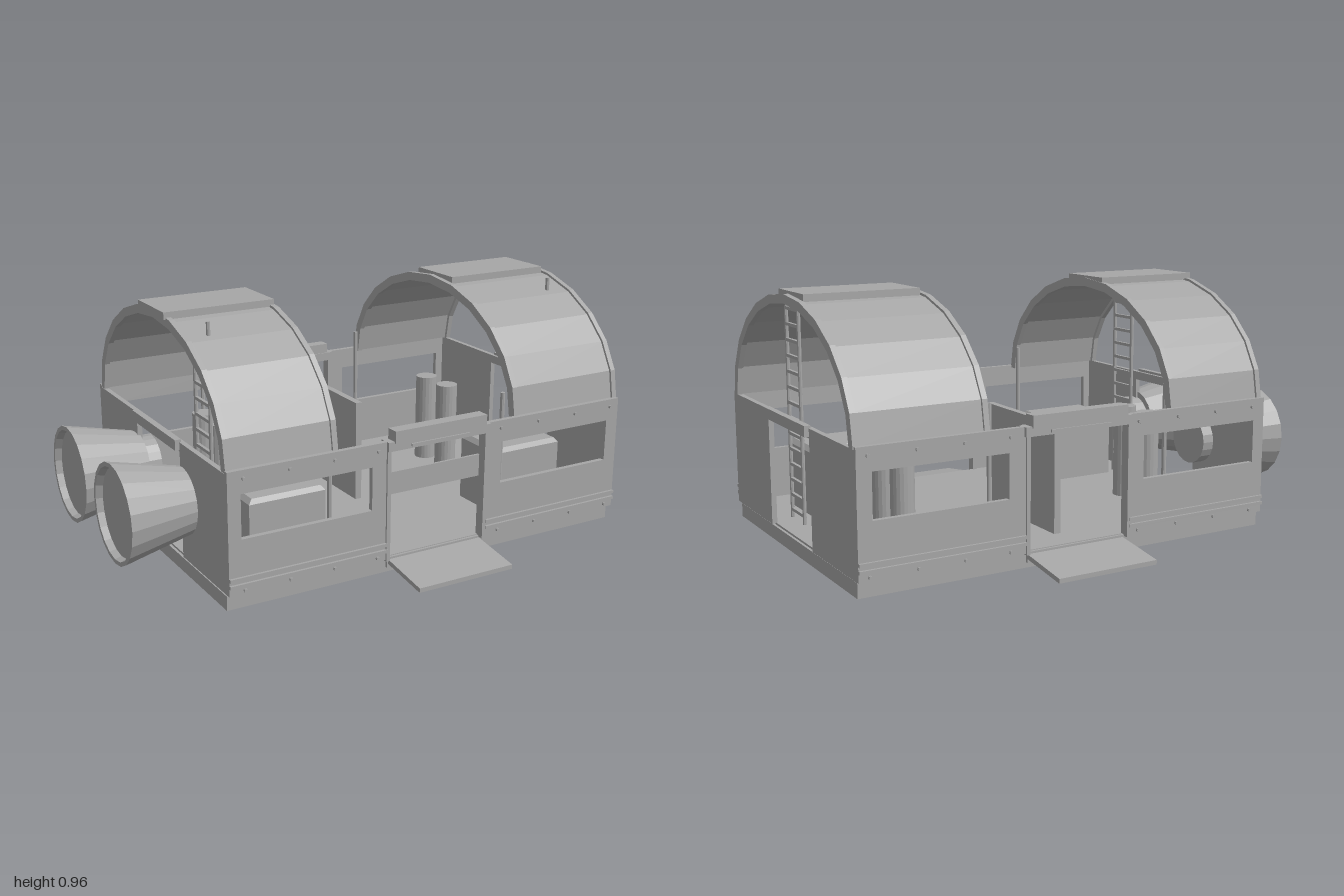
import * as THREE from 'three';

const grey = new THREE.MeshStandardMaterial({ color: 0xa6a6a6 });
grey.name = 'hull grey';
grey.flatShading = true;
grey.side = THREE.DoubleSide;

export function createModel() {
  const model = new THREE.Group();
  model.name = 'openModule';

  const add = (name, geo, parent = model) => {
    const m = new THREE.Mesh(geo, grey);
    m.name = name;
    parent.add(m);
    return m;
  };
  // Box given by its limits on each axis
  const box = (name, x0, x1, y0, y1, z0, z1, parent) => {
    const m = add(name, new THREE.BoxGeometry(x1 - x0, y1 - y0, z1 - z0), parent);
    m.position.set((x0 + x1) / 2, (y0 + y1) / 2, (z0 + z1) / 2);
    return m;
  };
  const rod = (name, r, x, y0, y1, z, sides = 8) => {
    const m = add(name, new THREE.CylinderGeometry(r, r, y1 - y0, sides));
    m.position.set(x, (y0 + y1) / 2, z);
    return m;
  };
  const outline = (C, pts) => new C(pts.map(([x, y]) => new THREE.Vector2(x, y)));
  const rect = (C, x0, x1, y0, y1) => outline(C, [[x0, y0], [x1, y0], [x1, y1], [x0, y1]]);
  const extrude = (shape, depth) =>
    new THREE.ExtrudeGeometry(shape, { depth, bevelEnabled: false });

  // Base slab and floor
  box('base', -0.73, 0.975, 0, 0.055, -0.58, 0.58);
  box('floor', -0.72, 0.965, 0.053, 0.063, -0.58, 0.58);

  // Long side walls with windows, doorway, trim and ramp
  for (const s of [1, -1]) {
    const side = new THREE.Group();
    side.name = s > 0 ? 'frontSide' : 'backSide';
    model.add(side);
    const panels = [[-0.73, -0.095, -0.68, -0.16], [0.345, 0.98, 0.41, 0.925]];
    for (const [x0, x1, w0, w1] of panels) {
      const shape = rect(THREE.Shape, x0, x1, 0.06, 0.515);
      shape.holes.push(rect(THREE.Path, w0, w1, 0.265, 0.43));
      const wall = add('windowWall', extrude(shape, 0.02), side);
      wall.position.z = s > 0 ? 0.583 : -0.603;
      for (const y of [0.097, 0.122]) {
        box('wallRail', x0, x1, y - 0.006, y + 0.006, s * 0.607 - 0.006, s * 0.607 + 0.006, side);
      }
      // Bolts along the upper and lower edges
      for (let i = 0; i < 4; i++) {
        for (const y of [0.485, 0.075]) {
          const bolt = add('bolt', new THREE.CylinderGeometry(0.007, 0.007, 0.01, 8), side);
          bolt.rotation.x = Math.PI / 2;
          bolt.position.set(x0 + 0.06 + i * 0.178, y, s * 0.607);
        }
      }
    }
    box('doorHeader', -0.1, 0.35, 0.48, 0.515, s * 0.59 - 0.025, s * 0.59 + 0.025, side);
    box('doorHood', -0.075, 0.325, 0.51, 0.555, s * 0.595 - 0.025, s * 0.595 + 0.025, side);
    box('doorSlot', -0.005, 0.25, 0.488, 0.498, s * 0.617 - 0.004, s * 0.617 + 0.004, side);
    for (const x of [-0.093, 0.337]) {
      box('doorPost', x - 0.008, x + 0.008, 0.055, 0.5, s * 0.59 - 0.02, s * 0.59 + 0.02, side);
    }
    box('doorSill', -0.085, 0.33, 0.02, 0.06, s * 0.58 - 0.01, s * 0.58 + 0.01, side);
    // Sloping ramp
    const ramp = add('ramp', extrude(
      outline(THREE.Shape, [[0.57, 0.055], [0.8, 0.022], [0.8, 0.005], [0.57, 0.037]]), 0.41), side);
    ramp.rotation.y = -s * Math.PI / 2;
    ramp.position.x = s > 0 ? 0.33 : -0.08;
  }
  box('doorBar', -0.085, 0.335, 0.3, 0.385, 0.565, 0.575);

  // End walls with a central doorway
  for (const [x, out] of [[-0.73, -1], [0.96, 1]]) {
    const shape = outline(THREE.Shape, [
      [-0.6, 0.06], [-0.21, 0.06], [-0.21, 0.47], [0.2, 0.47],
      [0.2, 0.06], [0.6, 0.06], [0.6, 0.505], [-0.6, 0.505]]);
    const wall = add('endWall', extrude(shape, 0.02));
    wall.rotation.y = Math.PI / 2;
    wall.position.x = x;
    const hx = out > 0 ? 0.985 : -0.735;
    box('endDoorLintel', hx - 0.012, hx + 0.012, 0.475, 0.515, -0.2, 0.21);
  }

  // Vaulted roof shells, twelve facets each
  const arc = (grow) => Array.from({ length: 13 }, (_, i) => {
    const a = (i / 12) * Math.PI;
    return [Math.cos(a) * (0.58 + grow), 0.505 + Math.sin(a) * (0.44 + grow)];
  });
  const vault = (name, x0, x1, outer, inner) => {
    const shape = outline(THREE.Shape, [...arc(outer), ...arc(inner).reverse()]);
    const m = add(name, extrude(shape, x1 - x0));
    m.rotation.y = Math.PI / 2;
    m.position.x = x0;
  };
  for (const [x0, x1] of [[-0.725, -0.295], [0.48, 0.98]]) {
    vault('roofVault', x0, x1, 0, -0.012);
    vault('roofRib', x0 - 0.003, x0 + 0.018, 0.009, -0.025);
    vault('roofRib', x1 - 0.018, x1 + 0.003, 0.009, -0.025);
  }
  box('roofPlate', -0.735, -0.295, 0.935, 0.962, -0.12, 0.12);
  box('roofPlate', 0.505, 0.955, 0.935, 0.962, -0.12, 0.12);

  // Slender poles carrying the inner vault edges
  for (const x of [-0.3, 0.455]) {
    for (const z of [-0.54, 0.54]) rod('roofPole', 0.009, x, 0.06, 0.6, z);
  }

  // Ladders
  for (const x of [-0.625, 0.88]) {
    rod('ladderRail', 0.008, x, 0.06, 0.945, 0.255);
    rod('ladderRail', 0.008, x, 0.06, 0.925, 0.13);
    for (let i = 0; i < 14; i++) {
      box('ladderRung', x - 0.006, x + 0.006, 0.09 + i * 0.06, 0.102 + i * 0.06, 0.13, 0.255);
    }
  }

  // Interior: dividing wall, machine boxes and tanks
  box('partition', 0.11, 0.137, 0.06, 0.475, -0.46, 0.04);
  for (const x of [-0.42, 0.66]) {
    box('machineBox', x - 0.155, x + 0.155, 0.06, 0.315, 0.22, 0.45);
    const lid = add('machineLid', new THREE.CylinderGeometry(0.9, 1, 1, 4).rotateY(Math.PI / 4));
    lid.scale.set(0.31 / Math.SQRT2, 0.018, 0.23 / Math.SQRT2);
    lid.position.set(x, 0.324, 0.335);
    for (const z of [-0.115, -0.27]) rod('tank', 0.045, x, 0.06, 0.435, z, 20);
  }

  // Engine bells with an inner recess and a stub inside the hull
  for (const z of [-0.23, 0.23]) {
    const bell = add('engineBell', new THREE.LatheGeometry([
      [0, -0.66], [0.1, -0.66], [0.1, -0.72], [0.125, -0.72],
      [0.188, -1], [0.172, -1], [0.165, -0.975], [0, -0.975],
    ].map(([r, y]) => new THREE.Vector2(r, y)), 20));
    bell.rotation.z = -Math.PI / 2;
    bell.position.set(0, 0.29, z);
  }

  return model;
}
